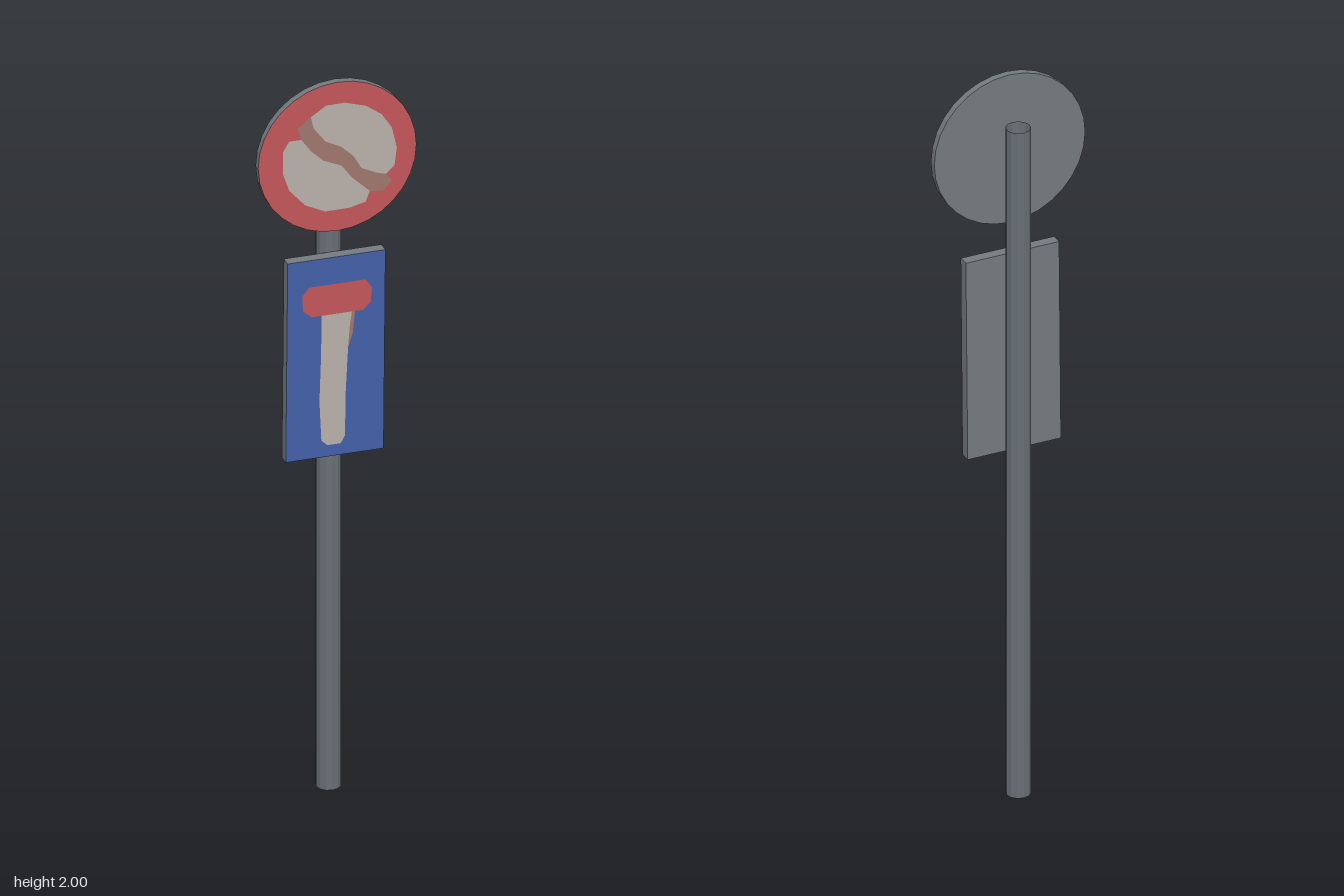
import * as THREE from 'three';

const mat = (name, color, extra = {}) => {
  const m = new THREE.MeshStandardMaterial({ color, ...extra });
  m.name = name;
  return m;
};

export function createModel() {
  const metal = mat('grey metal', 0x747b80, { flatShading: true });
  const poleMetal = mat('pole metal', 0x687075, { flatShading: true, side: THREE.DoubleSide });
  const red = mat('sign red', 0xc4565a);
  const blue = mat('sign blue', 0x4560aa);
  const pale = mat('pale paint', 0xbab0a9);
  const brown = mat('faded brown', 0xa0766f);

  const model = new THREE.Group();
  const add = (parent, name, geometry, material, x = 0, y = 0, z = 0) => {
    const mesh = new THREE.Mesh(geometry, material);
    mesh.name = name;
    mesh.position.set(x, y, z);
    parent.add(mesh);
    return mesh;
  };
  // Flat painted patch; points are in hundredths of a unit
  const patch = (points) => new THREE.ShapeGeometry(
    new THREE.Shape(points.map(([x, y]) => new THREE.Vector2(x / 100, y / 100))));

  // Hollow pole, open at both ends
  add(model, 'pole', new THREE.CylinderGeometry(0.032, 0.032, 1.875, 12, 1, true), poleMetal, 0, 0.9375, -0.018);

  // Round sign: red front, bare metal rim and back
  const round = new THREE.Group();
  round.name = 'roundSign';
  round.position.set(0, 1.792, 0.041);
  model.add(round);
  const disc = new THREE.CylinderGeometry(0.208, 0.208, 0.02, 32);
  disc.rotateX(Math.PI / 2);
  add(round, 'disc', disc, [metal, red, metal]);

  // Worn pale halves with a ragged diagonal band between them
  const upperEdge = [[12.7, -6.9], [10.6, -6.3], [6.3, -4.2], [4.2, -0.5], [1, 2.6], [-3.2, 4.8], [-6.3, 9], [-7, 12.2]];
  const lowerEdge = [[-9.5, 6.3], [-6.9, 2.6], [-3.7, -0.5], [1, -2.6], [3.7, -6.3], [8.5, -11]];
  add(round, 'upperField', patch([...upperEdge, [-3, 14.8], [2, 14.8], [7.5, 13], [11.6, 10],
    [14.3, 5.8], [15.6, 0], [15, -4.8]]), pale, 0, 0, 0.0115);
  add(round, 'lowerField', patch([...lowerEdge, [7.4, -13.8], [3.2, -14.8], [-3.2, -14.8], [-8.5, -12.2],
    [-12.7, -7.4], [-14.3, -2.6], [-14.3, 3.7], [-12.7, 6.3]]), pale, 0, 0, 0.0115);
  add(round, 'diagonalBand', patch([...upperEdge, [-10.5, 9.5], ...lowerEdge, [12, -11.5], [14.3, -9]]),
    brown, 0, 0, 0.0115);

  // Rectangular sign, hung very slightly crooked
  const panel = new THREE.Group();
  panel.name = 'panelSign';
  panel.position.set(-0.002, 1.23, 0.029);
  panel.rotation.z = -0.009;
  model.add(panel);
  add(panel, 'panel', new THREE.BoxGeometry(0.257, 0.555, 0.03), [metal, metal, metal, metal, blue, metal]);

  // Painted stem, worn edge and crossbar
  add(panel, 'stem', patch([[-3.6, -23], [-2, -24.5], [1.5, -24.5], [2.6, -22.5], [2.7, -10],
    [3.2, 2], [3.6, 8], [4.2, 12.5], [-3.8, 12.5], [-3.9, 0], [-4.2, -12]]), pale, 0, 0, 0.0165);
  add(panel, 'stemWear', patch([[3.2, 2], [4.4, 6], [5, 12.5], [4.2, 12.5], [3.6, 8]]), brown, 0, 0, 0.0165);
  add(panel, 'crossbar', patch([[-6.5, 12], [7, 12], [9, 14], [9.3, 18], [7.6, 20.4],
    [-7.2, 20.4], [-9, 18.2], [-8.8, 14]]), red, 0, 0, 0.018);

  return model;
}
